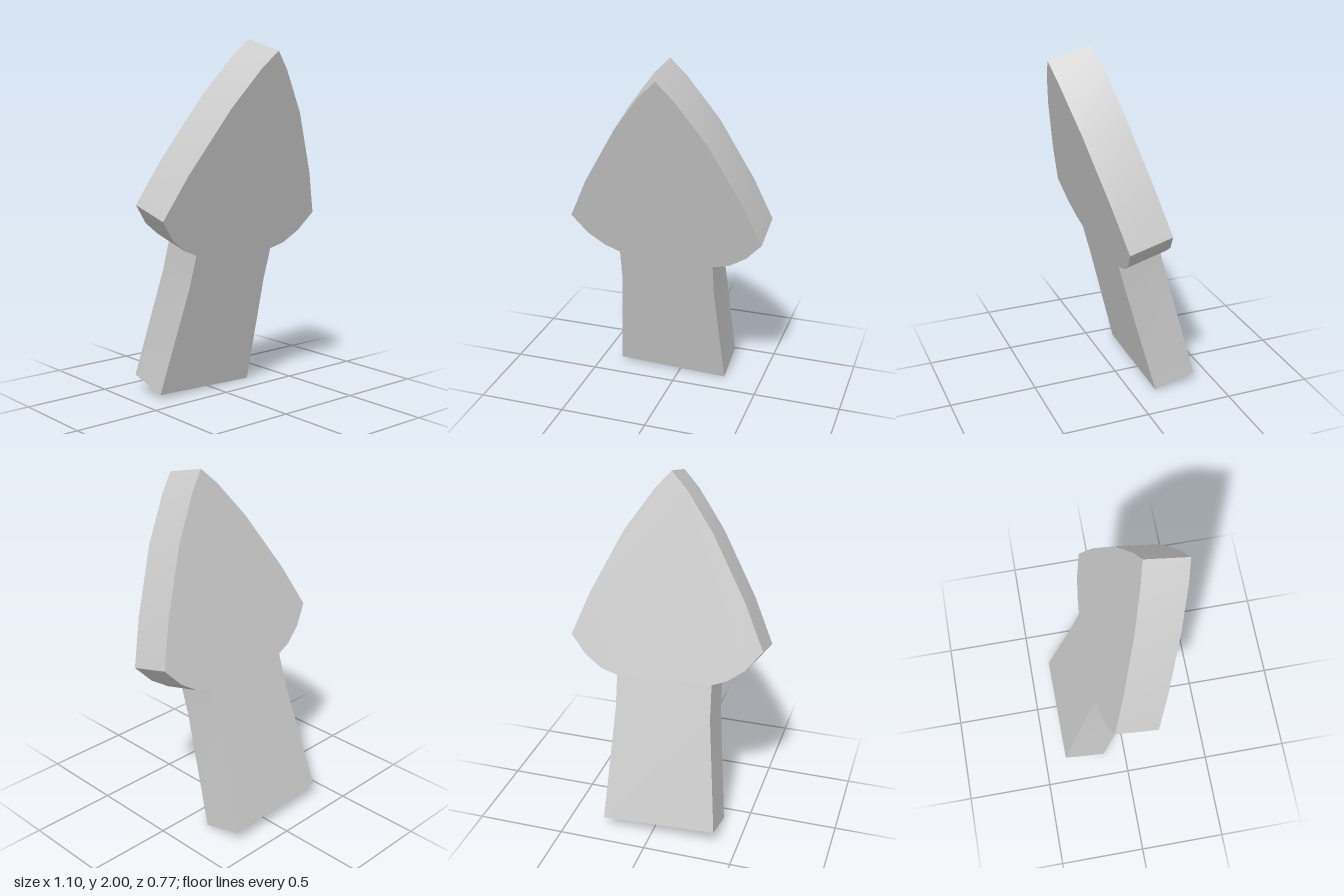
import * as THREE from 'three';
import { toCreasedNormals } from 'three/addons/utils/BufferGeometryUtils.js';

const LEAN = 0.265; // forward lean in radians
const DEPTH = 0.249;

export function createModel() {
  const model = new THREE.Group();
  model.name = 'arrow';

  const grey = new THREE.MeshStandardMaterial({ color: 0xcccccc });
  grey.name = 'light grey';

  // Outline of the front face, anticlockwise from the foot's left corner; heights are after leaning
  const outline = [
    [-0.37, 0.03], [0.28, 0.003], // foot
    [0.255, 0.64], [0.26, 0.825], // stem, +x side
    [0.355, 0.85], [0.455, 0.915], [0.545, 1.015], // curved barb
    [0.45, 1.26], [0.28, 1.605], [0.12, 1.84], // curved flank
    [0.035, 1.937], // tip
    [-0.06, 1.845], [-0.22, 1.64], [-0.43, 1.3], // curved flank
    [-0.55, 1.06], [-0.465, 0.95], [-0.37, 0.88], // curved barb
    [-0.285, 0.845], [-0.293, 0.66], // stem, -x side
  ].map(([x, y]) => new THREE.Vector2(x, y / Math.cos(LEAN)));

  // Thick slab with smooth curves and sharp rims
  let slab = new THREE.ExtrudeGeometry(new THREE.Shape(outline), { depth: DEPTH, bevelEnabled: false });
  slab.translate(0, 0, -DEPTH);
  slab = toCreasedNormals(slab, 0.4);
  slab.rotateX(LEAN);
  slab.translate(0, 0, -0.14);

  const arrow = new THREE.Mesh(slab, grey);
  arrow.name = 'arrowSlab';
  model.add(arrow);
  return model;
}
